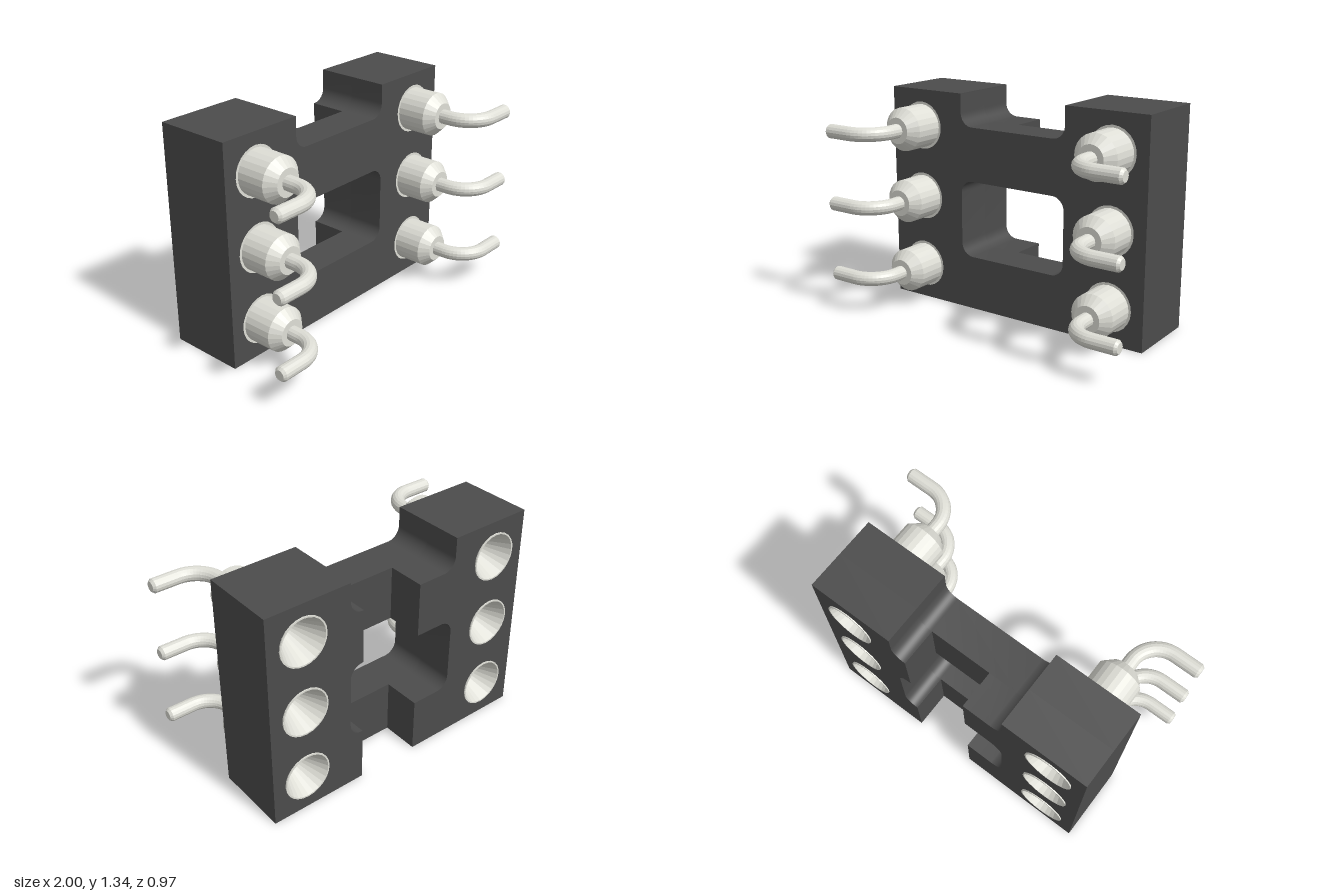
import * as THREE from 'three';
import { toCreasedNormals } from 'three/addons/utils/BufferGeometryUtils.js';

const HALF_W = 0.89, TOP = 1.335;             // housing outline
const IN = 0.365, R = 0.08;                   // window / notch half width and fillet
const WIN_LO = 0.335, WIN_HI = 0.81, NOTCH = 1.14;
const Z_BACK = -0.48, Z_STEP = -0.25, Z_FRONT = -0.015;
const PIN_X = 0.667, PIN_YS = [0.223, 0.668, 1.113], PIN_R = 0.147;

// Rounded corner at (cx, cy), arriving from direction (ax, ay) and leaving to (bx, by)
function corner(path, cx, cy, ax, ay, bx, by) {
  const k = R * (1 - 0.5523);
  path.lineTo(cx + ax * R, cy + ay * R);
  path.bezierCurveTo(cx + ax * k, cy + ay * k, cx + bx * k, cy + by * k, cx + bx * R, cy + by * R);
}

function addPinHoles(shape, sides) {
  for (const s of sides) for (const y of PIN_YS) {
    const hole = new THREE.Path();
    hole.absarc(s * PIN_X, y, PIN_R, 0, Math.PI * 2, true);
    shape.holes.push(hole);
  }
}

function slab(name, shape, z0, z1, material) {
  const geo = new THREE.ExtrudeGeometry(shape, { depth: z1 - z0, bevelEnabled: false, curveSegments: 12 });
  geo.translate(0, 0, z0);
  const mesh = new THREE.Mesh(toCreasedNormals(geo, 0.6), material);
  mesh.name = name;
  return mesh;
}

// Front layer: whole outline with top notch and window
function frontShape() {
  const s = new THREE.Shape();
  s.moveTo(-HALF_W, 0);
  s.lineTo(HALF_W, 0);
  s.lineTo(HALF_W, TOP);
  s.lineTo(IN, TOP);
  corner(s, IN, NOTCH, 0, 1, -1, 0);
  corner(s, -IN, NOTCH, 1, 0, 0, 1);
  s.lineTo(-IN, TOP);
  s.lineTo(-HALF_W, TOP);
  s.closePath();
  const w = new THREE.Path();
  w.moveTo(0, WIN_LO);
  corner(w, -IN, WIN_LO, 1, 0, 0, 1);
  corner(w, -IN, WIN_HI, 0, -1, 1, 0);
  corner(w, IN, WIN_HI, -1, 0, 0, -1);
  corner(w, IN, WIN_LO, 0, 1, -1, 0);
  w.closePath();
  s.holes.push(w);
  addPinHoles(s, [-1, 1]);
  return s;
}

// Back layer: one column whose cross-bar stubs stop at x = edge, leaving a slot
function columnShape(side, edge) {
  const s = new THREE.Shape();
  s.moveTo(side * HALF_W, 0);
  s.lineTo(side * edge, 0);
  s.lineTo(side * edge, WIN_LO);
  corner(s, side * IN, WIN_LO, -side, 0, 0, 1);
  corner(s, side * IN, WIN_HI, 0, -1, -side, 0);
  s.lineTo(side * edge, WIN_HI);
  s.lineTo(side * edge, NOTCH);
  corner(s, side * IN, NOTCH, -side, 0, 0, 1);
  s.lineTo(side * IN, TOP);
  s.lineTo(side * HALF_W, TOP);
  s.closePath();
  addPinHoles(s, [side]);
  return s;
}

// Turned socket with a conical mouth at the back, lathed around z
function socketGeometry() {
  const profile = [
    [0, -0.08], [0.05, -0.08], [0.05, -0.3], [0.138, -0.487], [PIN_R, -0.487],
    [PIN_R, Z_FRONT], [0.132, Z_FRONT], [0.132, 0.16], [0.08, 0.215], [0, 0.215],
  ].map(([r, z]) => new THREE.Vector2(r, z));
  return new THREE.LatheGeometry(profile, 24).rotateX(Math.PI / 2);
}

// Bent lead: out of the socket, then sideways to +x
function leadGeometry() {
  const v = (x, z) => new THREE.Vector3(x, 0, z);
  const b = 0.17, z = 0.443, k = b * (1 - 0.5523), end = 0.985 - PIN_X;
  const path = new THREE.CurvePath();
  path.add(new THREE.LineCurve3(v(0, 0.2), v(0, z - b)));
  path.add(new THREE.CubicBezierCurve3(v(0, z - b), v(0, z - k), v(k, z), v(b, z)));
  path.add(new THREE.LineCurve3(v(b, z), v(end, z)));
  const tip = new THREE.CylinderGeometry(0.03, 0.043, 0.015, 16);
  tip.rotateZ(-Math.PI / 2).translate(end + 0.0075, 0, z);
  return [new THREE.TubeGeometry(path, 24, 0.043, 16), tip];
}

export function createModel() {
  const model = new THREE.Group();
  const plastic = new THREE.MeshStandardMaterial({ color: 0x4c4c4c });
  const metal = new THREE.MeshStandardMaterial({ color: 0xdeded6, flatShading: true });

  const housing = new THREE.Group();
  housing.name = 'housing';
  housing.add(
    slab('frontPlate', frontShape(), Z_STEP, Z_FRONT, plastic),
    slab('leftColumn', columnShape(1, 0.28), Z_BACK, Z_STEP, plastic),
    slab('rightColumn', columnShape(-1, 0.11), Z_BACK, Z_STEP, plastic),
  );
  model.add(housing);

  // Two columns of three pins, leads pointing outward
  const socket = socketGeometry();
  const [lead, tip] = leadGeometry();
  for (const side of [1, -1]) for (const y of PIN_YS) {
    const pin = new THREE.Group();
    pin.name = side > 0 ? 'leftPin' : 'rightPin';
    for (const [name, geo] of [['socket', socket], ['lead', lead], ['leadTip', tip]]) {
      const mesh = new THREE.Mesh(geo, metal);
      mesh.name = name;
      pin.add(mesh);
    }
    pin.position.set(side * PIN_X, y, 0);
    if (side < 0) pin.rotation.z = Math.PI;
    model.add(pin);
  }
  return model;
}
